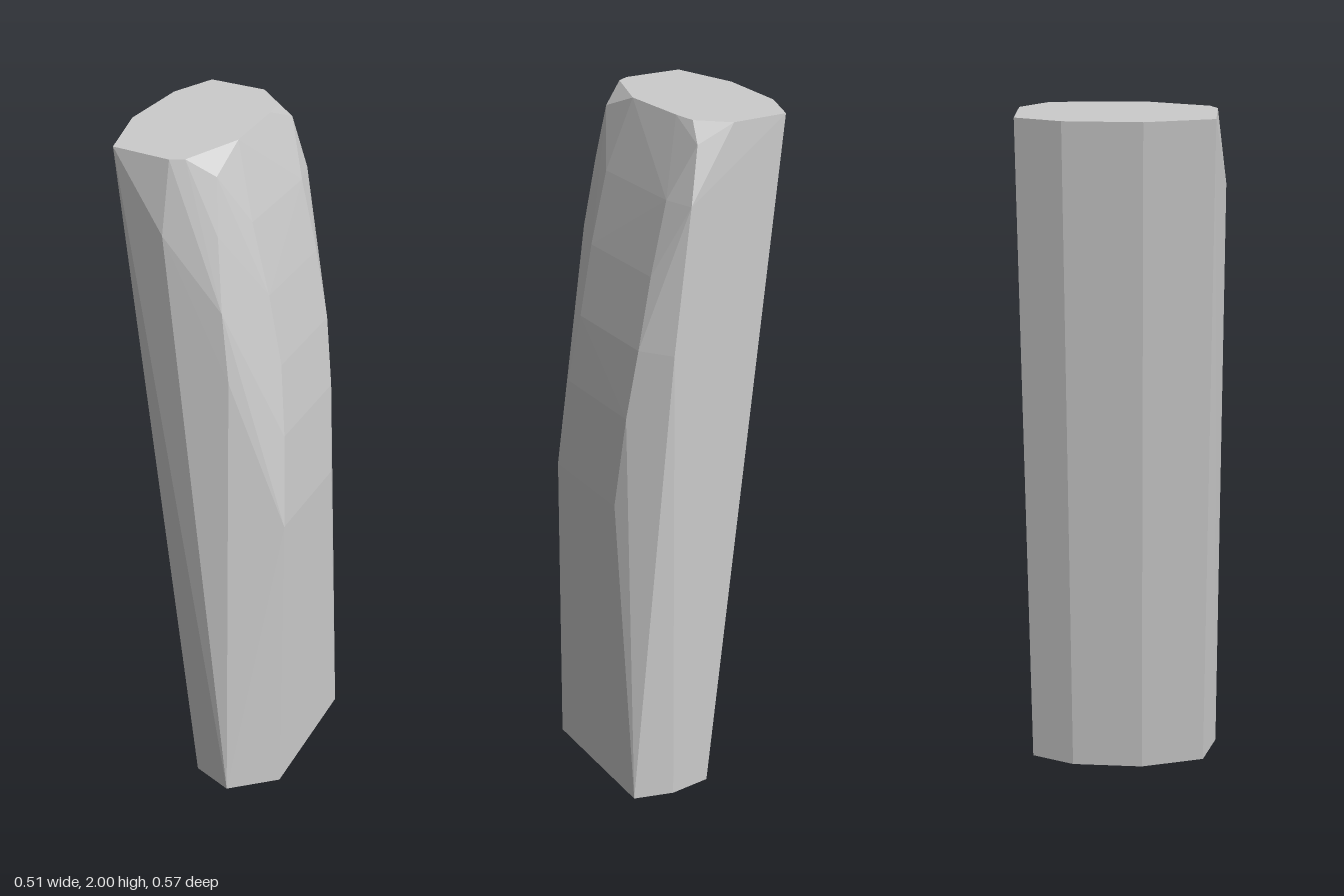
import * as THREE from 'three';
import { ConvexGeometry } from 'three/addons/geometries/ConvexGeometry.js';

// Leaning faceted stone post: horizontal cross-sections wrapped in a convex skin.
const sections = [
  // flat foot
  { y: 0, ring: [[-0.04, 0.055], [0.01, 0.242], [0.13, 0.283], [0.255, 0.175], [0.252, -0.245], [0.14, -0.283], [0.02, -0.28], [-0.03, -0.155]] },
  // shoulder where the right side starts to curve over
  { y: 0.93, ring: [[0.25, 0.165], [0.25, -0.15]] },
  { y: 1.2, ring: [[0.229, 0.13], [0.228, -0.18]] },
  { y: 1.4, ring: [[0.12, 0.25], [0.202, 0.1], [0.2, -0.2], [0.14, -0.283]] },
  { y: 1.6, ring: [[0.1, 0.248], [0.163, 0.1], [0.161, -0.2]] },
  { y: 1.8, ring: [[-0.055, 0.276], [0.075, 0.22], [0.113, 0.1], [0.113, -0.2], [0.09, -0.283]] },
  // chipped corners just under the top
  { y: 1.95, ring: [[0.057, 0.19], [0.066, 0.06], [0.055, -0.255]] },
  // flat top
  { y: 2, ring: [[-0.2, -0.28], [-0.04, -0.278], [0.037, -0.205], [0.045, -0.14], [0.052, 0.06], [-0.01, 0.23], [-0.045, 0.25], [-0.21, 0.242], [-0.26, 0.055], [-0.25, -0.155]] },
];

export function createModel() {
  const group = new THREE.Group();
  group.name = 'stonePost';
  const points = sections.flatMap(({ y, ring }) => ring.map(([x, z]) => new THREE.Vector3(x, y, z)));
  const stone = new THREE.Mesh(
    new ConvexGeometry(points),
    new THREE.MeshStandardMaterial({ color: 0xcccccc, flatShading: true })
  );
  stone.name = 'stone';
  group.add(stone);
  return group;
}
